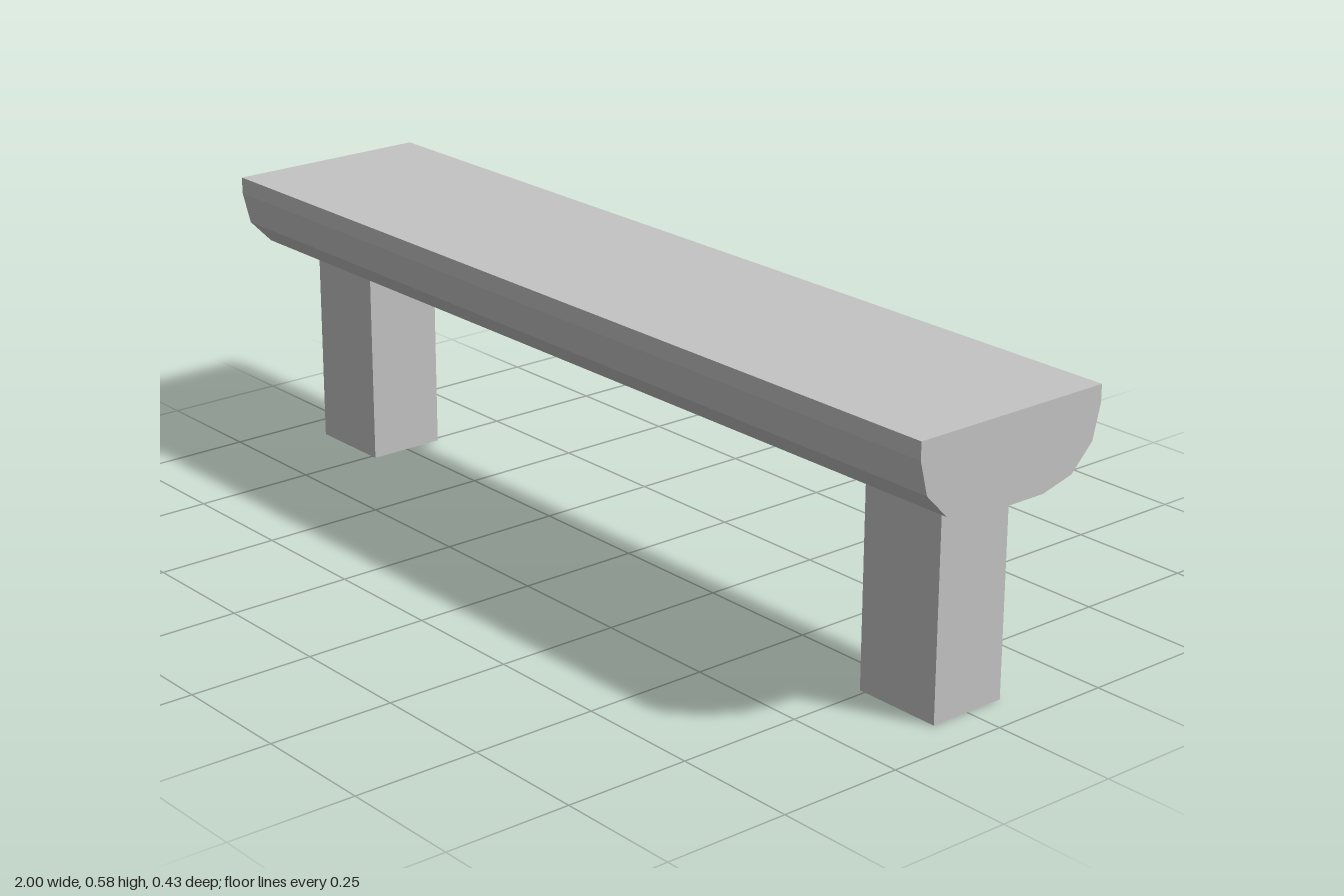
import * as THREE from 'three';

export function createModel() {
  const group = new THREE.Group();
  group.name = 'bench';
  const stone = new THREE.MeshStandardMaterial({ color: 0xc4c4c4, flatShading: true, side: THREE.DoubleSide });
  stone.name = 'grey stone';

  // Seat: half-round log section, extruded along x
  const half = [[0.081, 0.413], [0.15, 0.431], [0.198, 0.48], [0.215, 0.546], [0.215, 0.58]];
  const outline = [...half, ...half.map(([z, y]) => [-z, y]).reverse()];
  const section = new THREE.Shape(outline.map(([z, y]) => new THREE.Vector2(z, y)));
  const seatGeometry = new THREE.ExtrudeGeometry(section, { depth: 2, bevelEnabled: false });
  seatGeometry.translate(0, 0, -1).rotateY(Math.PI / 2);
  const seat = new THREE.Mesh(seatGeometry, stone);
  seat.name = 'seat';
  group.add(seat);

  // Legs: square tubes, open at the foot
  const legHeight = 0.413;
  const legGeometry = new THREE.CylinderGeometry(Math.SQRT1_2, Math.SQRT1_2, 1, 4, 1, true);
  legGeometry.rotateY(Math.PI / 4).scale(0.184, legHeight, 0.163);
  for (const side of [1, -1]) {
    const leg = new THREE.Mesh(legGeometry, stone);
    leg.name = side > 0 ? 'leftLeg' : 'rightLeg';
    leg.position.set(side * 0.83, legHeight / 2, 0);
    group.add(leg);
  }
  return group;
}
